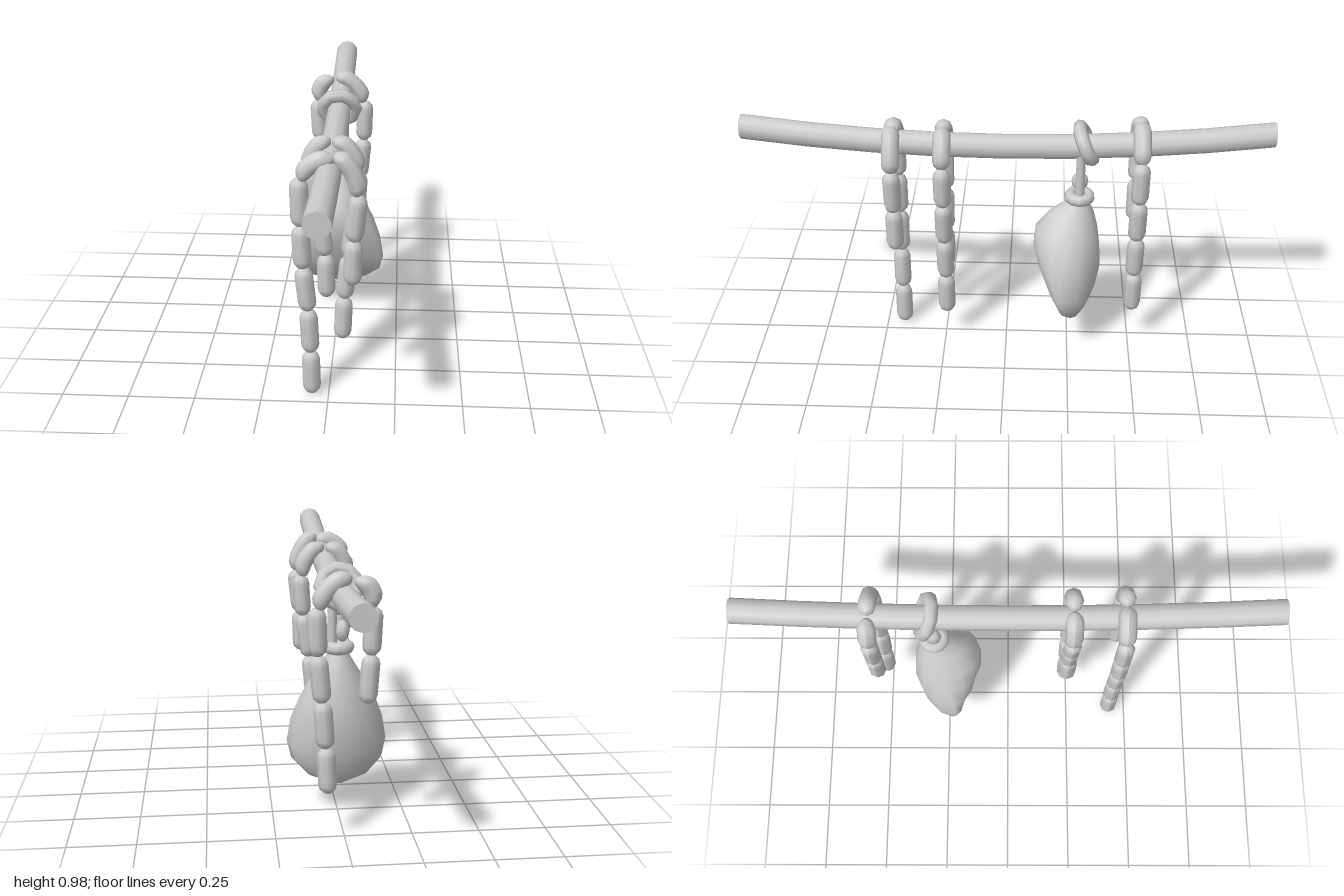
import * as THREE from 'three';

const material = new THREE.MeshStandardMaterial({ color: 0xcccccc, side: THREE.DoubleSide });

function add(parent, name, geometry, x = 0, y = 0, z = 0) {
  const mesh = new THREE.Mesh(geometry, material);
  mesh.name = name;
  mesh.position.set(x, y, z);
  parent.add(mesh);
  return mesh;
}

// Sausage between two points in the xy plane, optionally bowed sideways
function addLink(parent, [x0, y0], [x1, y1], z, bow = 0) {
  const r = 0.034, dx = x0 - x1, dy = y0 - y1, length = Math.hypot(dx, dy);
  const geo = new THREE.CapsuleGeometry(r, Math.max(0.02, length - 2 * r + 0.006), 3, 8, 4);
  const p = geo.attributes.position;
  for (let i = 0; i < p.count; i++) {
    const t = p.getY(i) / (length / 2);
    p.setX(i, p.getX(i) + bow * (1 - t * t));
  }
  geo.computeVertexNormals();
  const link = add(parent, 'sausageLink', geo, (x0 + x1) / 2, (y0 + y1) / 2, z);
  link.rotation.z = Math.atan2(-dx, dy);
}

// Two strands of links hanging from either side of the pole
function addString(parent, z, left, right) {
  const string = new THREE.Group();
  string.name = 'sausageString';
  for (const [joints, side] of [[left, 1], [right, -1]]) {
    for (let i = 0; i + 1 < joints.length; i++) {
      addLink(string, joints[i], joints[i + 1], z, i === 0 ? side * 0.018 : 0);
    }
  }
  parent.add(string);
}

// Sack skin: each row is y, half width, widest z, front z, back z
function sackGeometry(rows, sides) {
  const pos = [], index = [];
  for (const [y, w, mid, front, back] of rows) {
    for (let j = 0; j < sides; j++) {
      const a = (j / sides) * Math.PI * 2, s = Math.sin(a);
      pos.push(w * Math.cos(a), y, mid + (s > 0 ? front - mid : mid - back) * s);
    }
  }
  for (let i = 0; i + 1 < rows.length; i++) {
    for (let j = 0; j < sides; j++) {
      const a = i * sides + j, b = i * sides + (j + 1) % sides;
      index.push(a, b, a + sides, b, b + sides, a + sides);
    }
  }
  const geo = new THREE.BufferGeometry();
  geo.setAttribute('position', new THREE.Float32BufferAttribute(pos, 3));
  geo.setIndex(index);
  geo.computeVertexNormals();
  return geo;
}

export function createModel() {
  const model = new THREE.Group();
  model.name = 'hangingSausagePole';

  // Sagging pole
  const pole = new THREE.CylinderGeometry(0.047, 0.047, 2, 10, 8);
  pole.rotateX(Math.PI / 2);
  const p = pole.attributes.position;
  for (let i = 0; i < p.count; i++) p.setY(i, p.getY(i) + 0.875 + 0.067 * p.getZ(i) ** 2);
  add(model, 'pole', pole);

  // Sausage strings, front to back
  addString(model, 0.43,
    [[0.03, 0.965], [0.108, 0.81], [0.09, 0.635], [0.086, 0.465]],
    [[0.015, 0.95], [-0.105, 0.87], [-0.1, 0.69], [-0.093, 0.525], [-0.075, 0.355], [-0.067, 0.182], [-0.063, 0.008]]);
  addString(model, 0.24,
    [[0.015, 0.955], [0.1, 0.825], [0.09, 0.66], [0.066, 0.485], [0.048, 0.312], [0.042, 0.14]],
    [[-0.015, 0.955], [-0.085, 0.825], [-0.05, 0.66], [-0.022, 0.49], [-0.019, 0.318]]);
  addString(model, -0.505,
    [[-0.015, 0.975], [0.1, 0.86], [0.095, 0.69], [0.08, 0.52], [0.068, 0.35], [0.06, 0.18]],
    [[-0.045, 0.965], [-0.1, 0.86], [-0.092, 0.69], [-0.08, 0.515]]);

  // Sack with its tie and hanging ring
  const sack = new THREE.Group();
  sack.name = 'sack';
  add(sack, 'sackBody', sackGeometry([
    [0.67, 0.025, -0.28, -0.255, -0.305],
    [0.64, 0.037, -0.28, -0.235, -0.32],
    [0.59, 0.065, -0.265, -0.165, -0.342],
    [0.52, 0.108, -0.245, -0.112, -0.36],
    [0.45, 0.145, -0.23, -0.105, -0.37],
    [0.37, 0.175, -0.215, -0.125, -0.375],
    [0.28, 0.19, -0.21, -0.165, -0.36],
    [0.215, 0.174, -0.225, -0.205, -0.34],
    [0.16, 0.115, -0.26, -0.25, -0.31],
    [0.128, 0.015, -0.285, -0.28, -0.29],
  ], 14));

  const tie = add(sack, 'neckTie', new THREE.TorusGeometry(0.036, 0.024, 8, 10), 0, 0.662, -0.282);
  tie.rotation.x = Math.PI / 2;
  const knot = add(sack, 'gatheredTop', new THREE.SphereGeometry(0.036, 8, 6), -0.014, 0.722, -0.282);
  knot.scale.set(0.75, 1.15, 0.9);
  add(sack, 'strap', new THREE.CylinderGeometry(0.017, 0.018, 0.19, 8), 0.023, 0.775, -0.282);

  const ring = add(sack, 'poleRing', new THREE.TorusGeometry(0.067, 0.027, 8, 9), 0, 0.893, -0.3);
  ring.rotation.x = 0.4;
  model.add(sack);

  return model;
}
